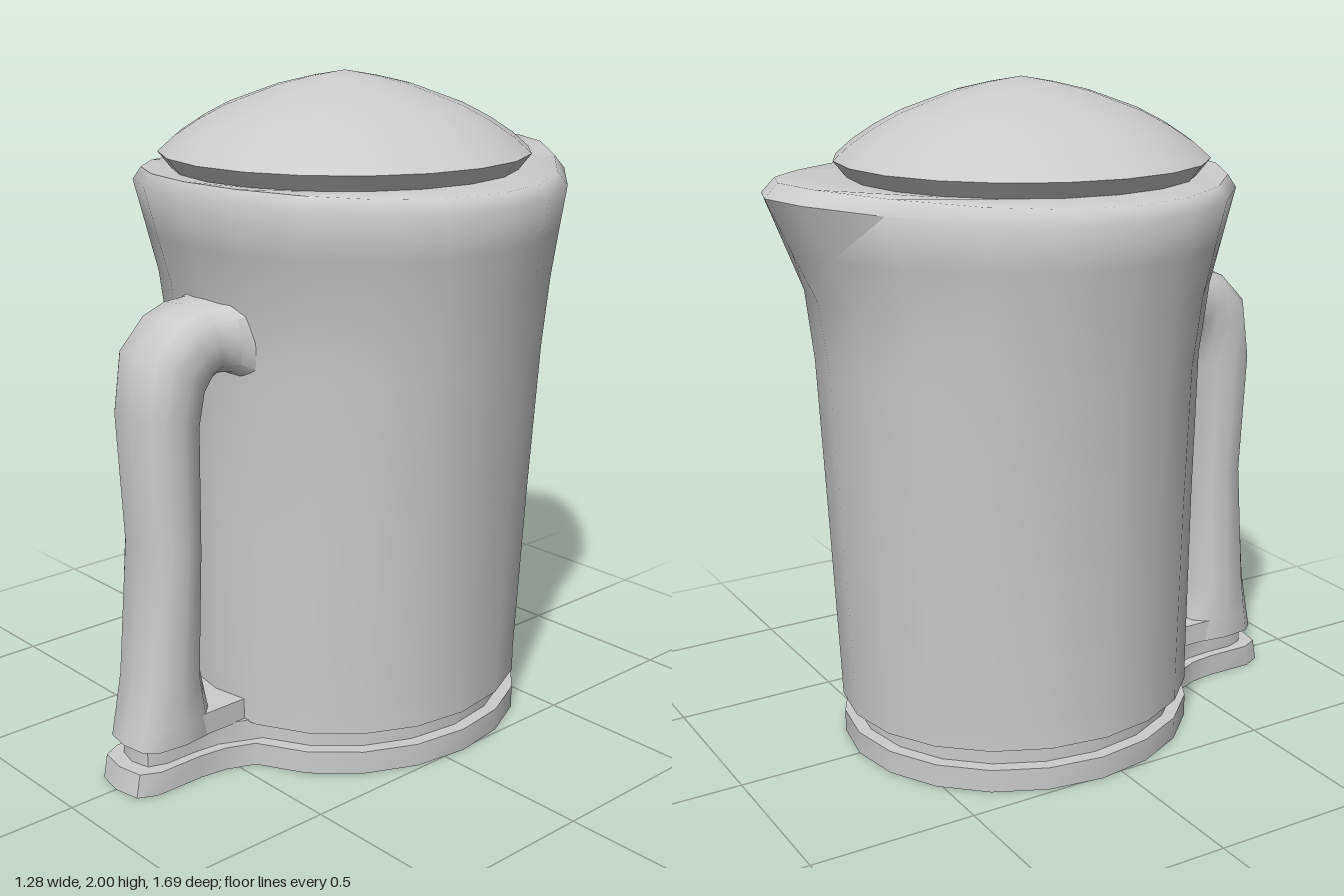
import * as THREE from 'three';
import { toCreasedNormals } from 'three/addons/utils/BufferGeometryUtils.js';

const MID = -0.06; // z of the jug's axis
const SEG = 20;
const material = new THREE.MeshStandardMaterial({ color: 0xcccccc });

// Skin a list of rings (each a list of [x, y, z]) running upwards
function loft(rings, crease) {
  const n = rings[0].length;
  const index = [];
  for (let r = 0; r < rings.length - 1; r++) {
    for (let i = 0; i < n; i++) {
      const j = (i + 1) % n;
      const b = r * n + i, bn = r * n + j, t = b + n, tn = bn + n;
      index.push(b, t, bn, bn, t, tn);
    }
  }
  const g = new THREE.BufferGeometry();
  g.setAttribute('position', new THREE.Float32BufferAttribute(rings.flat(2), 3));
  g.setIndex(index);
  return toCreasedNormals(g, crease);
}

const point = (n, x, y, z) => Array.from({ length: n }, () => [x, y, z]);

// Body section: half ellipse at the front, blending to a pointed spout at the back
function bodyRing(y, w, front, back, spout, frontLift = 0, backLift = 0) {
  const px = [1, 0.953, 0.797, 0.516, 0.22, 0], pz = [0, 0.25, 0.5, 0.75, 0.94, 1];
  return Array.from({ length: SEG }, (_, i) => {
    const a = (i / SEG) * Math.PI * 2;
    const c = Math.cos(a), s = Math.sin(a);
    if (i <= SEG / 2) return [w * c, y + frontLift * s * s, MID + (front - MID) * s];
    const k = SEG / 2 - Math.abs(i - 15) - 5; // steps from the side to the tip
    const x = THREE.MathUtils.lerp(Math.abs(c), px[k], spout) * Math.sign(c);
    const z = THREE.MathUtils.lerp(-s, pz[k], spout);
    return [w * x, y + backLift * z * z, MID + (back - MID) * z];
  });
}

// Base section: ellipse with a tongue running out under the handle
function baseRing(y, inset, tip) {
  const half = 0.11 - inset * 0.75;
  const pts = [];
  for (let i = 6; i <= SEG + 4; i++) {
    const a = (i / SEG) * Math.PI * 2;
    pts.push([(0.51 - inset) * Math.cos(a), y, -0.07 + (0.55 - inset) * Math.sin(a)]);
  }
  const tongue = [[half * 1.1, 0.54], [half, 0.62], [half, tip - 0.07], [half * 0.75, tip - 0.015], [0, tip]];
  for (const [x, z] of tongue) pts.push([x, y, z]);
  for (const [x, z] of tongue.slice(0, 4).reverse()) pts.push([-x, y, z]);
  return pts;
}

// Handle section spanning from an outer to an inner [z, y] point
function handleRing([oz, oy, iz, iy, w]) {
  const pow = (v) => Math.sign(v) * Math.abs(v) ** 0.65;
  return Array.from({ length: 12 }, (_, i) => {
    const a = (i / 12) * Math.PI * 2;
    const s = pow(Math.sin(a)), c = pow(Math.cos(a));
    return [w * c, (oy + iy) / 2 + ((oy - iy) / 2) * s, (oz + iz) / 2 + ((oz - iz) / 2) * s];
  });
}

export function createModel() {
  const group = new THREE.Group();
  const add = (name, geometry) => {
    const mesh = new THREE.Mesh(geometry, material);
    mesh.name = name;
    group.add(mesh);
    return mesh;
  };

  // Jug body with spout, rim and a recessed seat for the lid
  add('body', loft([
    point(SEG, 0, 0.13, MID),
    bodyRing(0.13, 0.51, 0.475, -0.625, 0),
    bodyRing(0.2, 0.508, 0.475, -0.628, 0),
    bodyRing(0.75, 0.538, 0.468, -0.652, 0),
    bodyRing(1.2, 0.572, 0.465, -0.673, 0.05),
    bodyRing(1.41, 0.6, 0.49, -0.702, 0.25),
    bodyRing(1.55, 0.622, 0.53, -0.77, 0.65),
    bodyRing(1.67, 0.641, 0.572, -0.845, 1, 0.03, 0.04),
    bodyRing(1.71, 0.612, 0.55, -0.805, 1, 0.025, 0.04),
    bodyRing(1.725, 0.52, 0.47, -0.565, 0),
    point(SEG, 0, 1.725, MID),
  ], 0.95));

  // Domed lid
  const profile = [[0.5, 1.71], [0.52, 1.735], [0.549, 1.772], [0.5, 1.815], [0.43, 1.861],
    [0.35, 1.903], [0.2, 1.958], [0.1, 1.982], [0, 2]];
  const lid = add('lid', toCreasedNormals(
    new THREE.LatheGeometry(profile.map(([x, y]) => new THREE.Vector2(x, y)), SEG), 0.9));
  lid.position.z = -0.045;

  // Base plate with the narrower neck above it
  const count = baseRing(0, 0, 0.85).length;
  add('base', loft([
    point(count, 0, 0, MID),
    baseRing(0, 0, 0.848),
    baseRing(0.07, 0, 0.835),
    baseRing(0.07, 0.04, 0.79),
    baseRing(0.135, 0.04, 0.79),
    point(count, 0, 0.135, MID),
  ], 0.7));

  // Handle, flaring where it meets the body
  add('handle', loft([
    point(12, 0, 0.13, 0.68),
    ...[
      [0.815, 0.13, 0.54, 0.13, 0.12],
      [0.8, 0.2, 0.555, 0.2, 0.119],
      [0.775, 0.32, 0.582, 0.32, 0.118],
      [0.737, 0.72, 0.573, 0.7, 0.122],
      [0.755, 1.1, 0.571, 1.07, 0.13],
      [0.727, 1.28, 0.555, 1.15, 0.134],
      [0.64, 1.368, 0.535, 1.188, 0.136],
      [0.565, 1.397, 0.51, 1.2, 0.137],
      [0.48, 1.4, 0.465, 1.195, 0.15],
      [0.36, 1.5, 0.36, 1.1, 0.3],
    ].map(handleRing),
  ], 0.9));

  // Foot joining the handle to the body
  const foot = add('handleFoot', new THREE.BoxGeometry(0.22, 0.068, 0.24));
  foot.position.set(0, 0.165, 0.5);

  return group;
}
